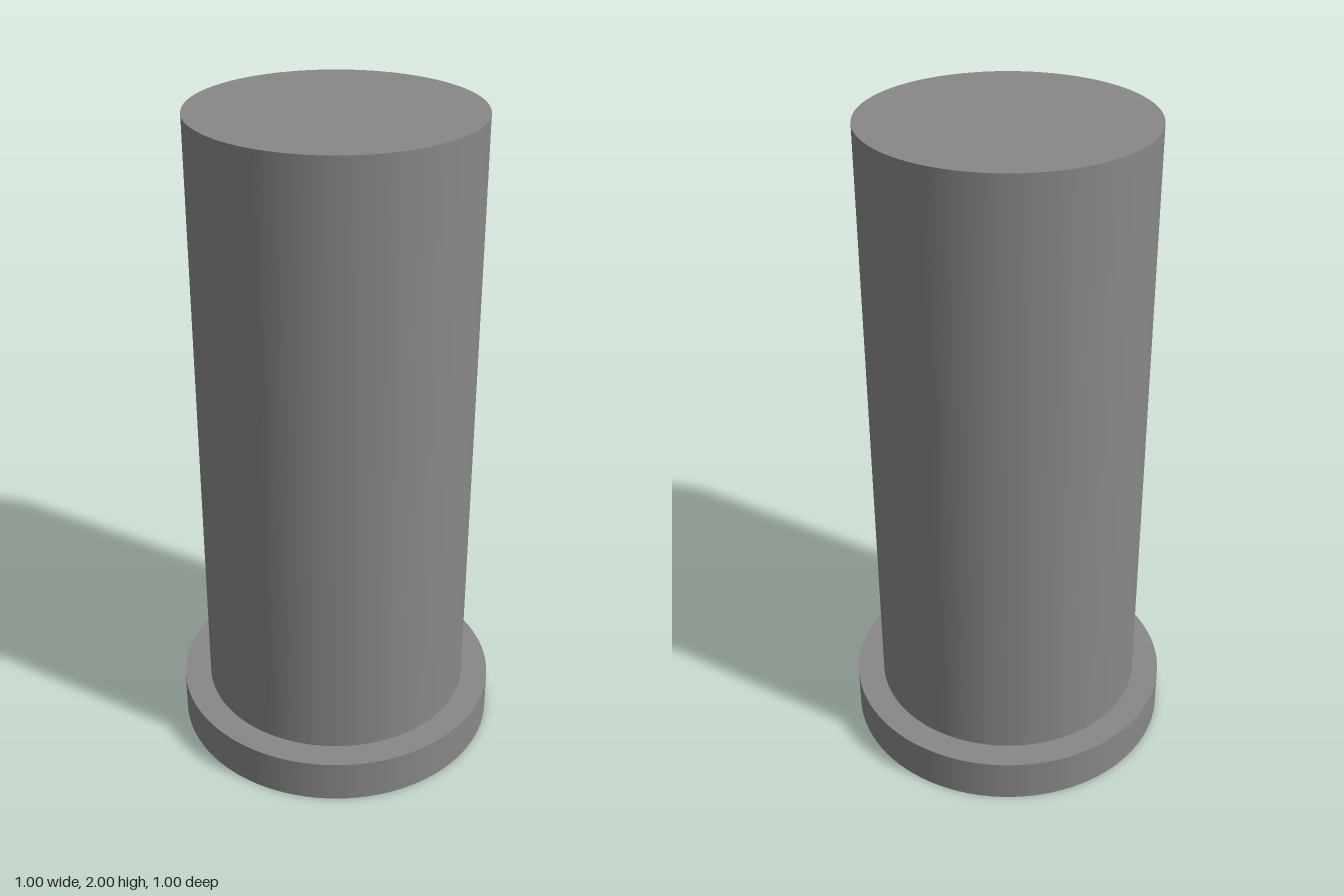
import * as THREE from 'three';

const FLANGE_RADIUS = 0.5;
const FLANGE_HEIGHT = 0.135;
const SHAFT_RADIUS = 0.416;
const TOTAL_HEIGHT = 2;
const SEGMENTS = 96;

export function createModel() {
  const group = new THREE.Group();
  group.name = 'flangedPin';
  const material = new THREE.MeshStandardMaterial({ color: 0x888888 });

  // Upright solid cylinder spanning two heights
  const addCylinder = (name, radius, bottom, top) => {
    const geometry = new THREE.CylinderGeometry(radius, radius, top - bottom, SEGMENTS);
    const mesh = new THREE.Mesh(geometry, material);
    mesh.name = name;
    mesh.position.y = (bottom + top) / 2;
    group.add(mesh);
  };

  // Wide, thin foot flange
  addCylinder('flange', FLANGE_RADIUS, 0, FLANGE_HEIGHT);
  // Plain round shaft standing on the flange
  addCylinder('shaft', SHAFT_RADIUS, FLANGE_HEIGHT, TOTAL_HEIGHT);

  return group;
}
